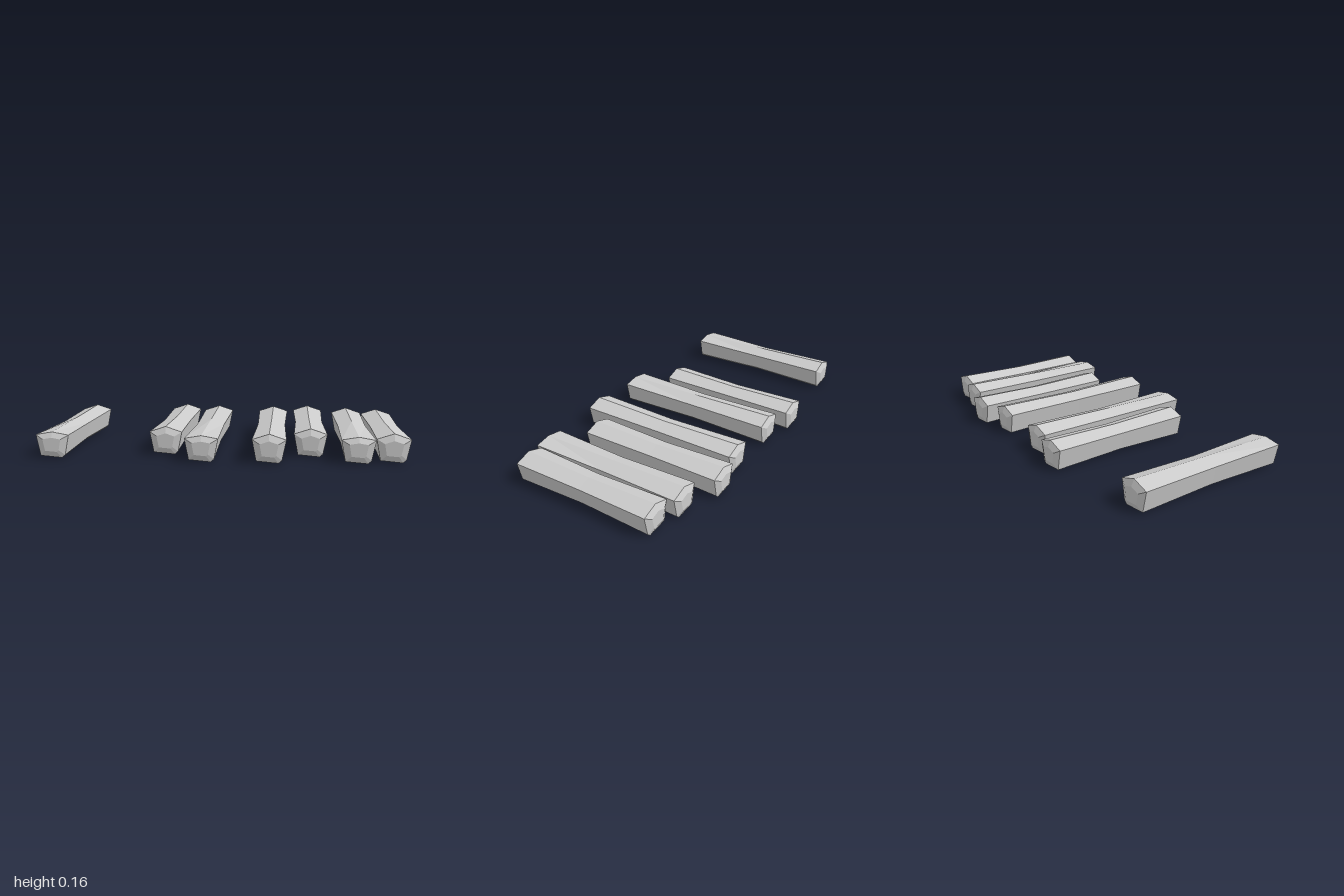
import * as THREE from 'three';

// Log cross-section, counterclockwise as seen from the front; the first point is the ridge
const SECTION = [
  [0, 0.157], [-0.09, 0.127], [-0.068, 0.012],
  [0.05, 0.002], [0.068, 0.018], [0.09, 0.127],
];
const CENTRE_Y = 0.078;

// One faceted log: narrow waist, flared ends, shallow bevelled caps
function logGeometry(back, front, frontRidge) {
  const mid = (back + front) / 2;
  // z, scale about the centre, ridge height at full scale
  const rings = [
    [back - 0.016, 0.55, 0.157],
    [back, 1, 0.157],
    [mid, 0.88, 0.157],
    [front, 1, frontRidge],
    [front + 0.016, 0.55, frontRidge],
  ];
  const n = SECTION.length;
  const positions = [];
  const index = [];
  for (const [z, s, ridge] of rings) {
    SECTION.forEach(([x, y], j) => {
      const py = j === 0 ? ridge : y;
      positions.push(x * s, CENTRE_Y + (py - CENTRE_Y) * s, z);
    });
  }
  for (let i = 0; i < rings.length - 1; i++) {
    for (let j = 0; j < n; j++) {
      const k = (j + 1) % n;
      const a = i * n, b = a + n;
      index.push(a + j, a + k, b + k, a + j, b + k, b + j);
    }
  }
  // End faces
  const last = (rings.length - 1) * n;
  for (let j = 1; j < n - 1; j++) {
    index.push(0, j + 1, j);
    index.push(last, last + j, last + j + 1);
  }
  const indexed = new THREE.BufferGeometry();
  indexed.setAttribute('position', new THREE.Float32BufferAttribute(positions, 3));
  indexed.setIndex(index);
  const geometry = indexed.toNonIndexed();
  geometry.computeVertexNormals();
  return geometry;
}

export function createModel() {
  const group = new THREE.Group();
  group.name = 'logs';
  const material = new THREE.MeshStandardMaterial({ color: 0xcccccc, flatShading: true });

  // x, back rim, front rim, front ridge height
  const logs = [
    [-0.91, -0.427, 0.467, 0.143],
    [-0.315, -0.502, 0.328, 0.157],
    [-0.097, -0.457, 0.497, 0.143],
    [0.26, -0.457, 0.497, 0.157],
    [0.48, -0.502, 0.328, 0.157],
    [0.725, -0.427, 0.467, 0.143],
    [0.91, -0.388, 0.43, 0.157],
  ];
  logs.forEach(([x, back, front, ridge], i) => {
    const log = new THREE.Mesh(logGeometry(back, front, ridge), material);
    log.name = `log${i + 1}`;
    log.position.x = x;
    group.add(log);
  });
  return group;
}
